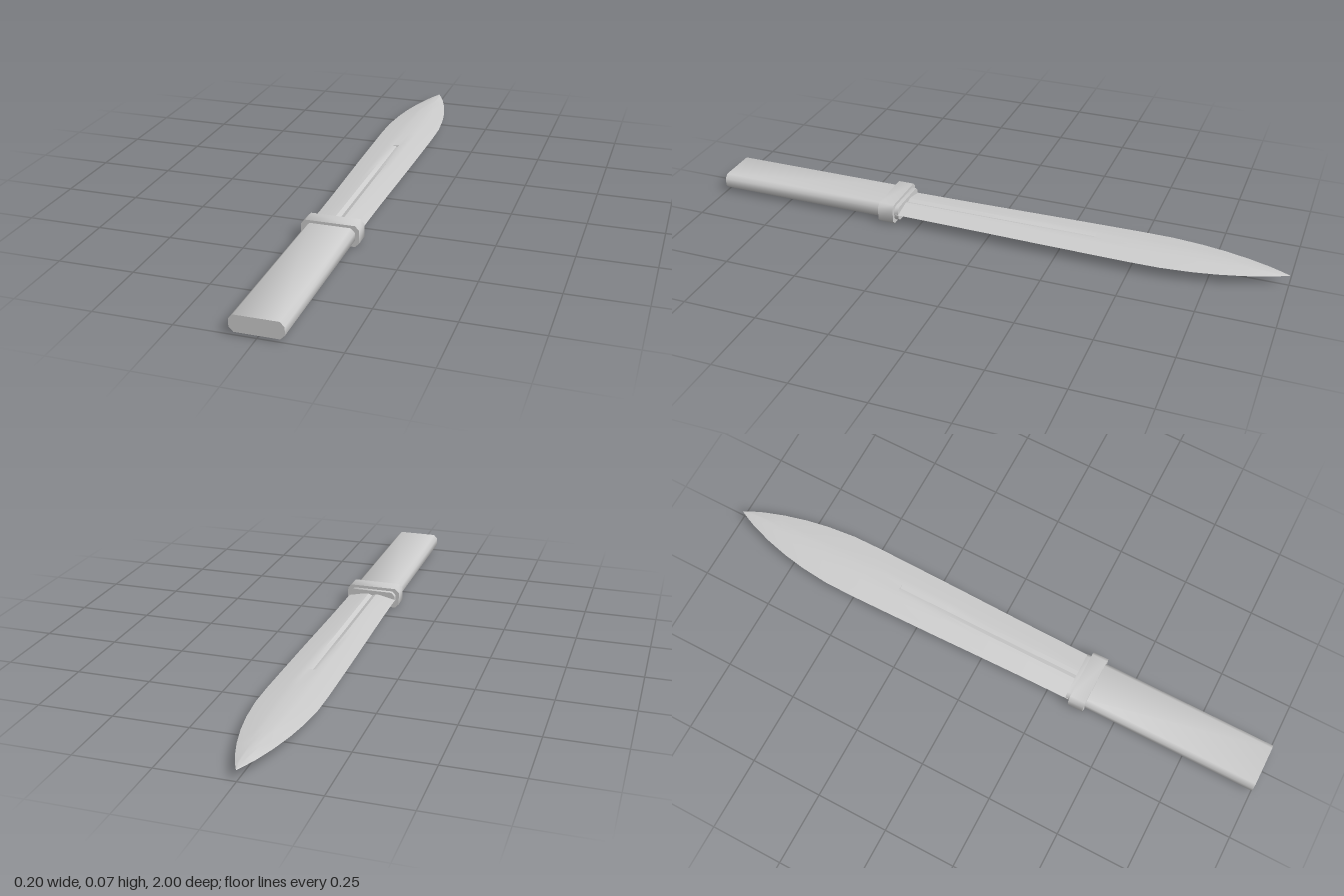
import * as THREE from 'three';
import { toCreasedNormals } from 'three/addons/utils/BufferGeometryUtils.js';

const MID = 0.036; // height of the long axis

// Bar with a chamfered rectangular section, running from z0 to z1
function chamferedBar(name, w, h, c, z0, z1, material) {
  const s = new THREE.Shape();
  const corners = [[w - c, -h], [w, c - h], [w, h - c], [w - c, h], [c - w, h], [-w, h - c], [-w, c - h], [c - w, -h]];
  corners.forEach(([x, y], i) => (i ? s.lineTo(x, y) : s.moveTo(x, y)));
  s.closePath();
  const geo = new THREE.ExtrudeGeometry(s, { depth: z1 - z0, bevelEnabled: false });
  const mesh = new THREE.Mesh(toCreasedNormals(geo, 0.9), material);
  mesh.name = name;
  mesh.position.set(0, MID, z0);
  return mesh;
}

// Blade lofted through [z, half width, half thickness, groove depth]
function bladeGeometry() {
  const stations = [
    [0.33, 0.086, 0.014, 0.006], [0.15, 0.088, 0.014, 0.006], [0, 0.091, 0.014, 0.006],
    [-0.18, 0.095, 0.014, 0.005], [-0.36, 0.098, 0.014, 0.004], [-0.36, 0.098, 0.014, 0],
    [-0.5, 0.1, 0.014, 0], [-0.6, 0.099, 0.0135, 0], [-0.7, 0.089, 0.0125, 0],
    [-0.78, 0.075, 0.011, 0], [-0.86, 0.055, 0.009, 0], [-0.93, 0.032, 0.006, 0],
    [-0.97, 0.015, 0.0035, 0], [-1, 0.0003, 0.0003, 0],
  ];
  const positions = [];
  const index = [];
  const n = 12;
  for (const [z, w, t, d] of stations) {
    const r = w * 0.35;
    const g = Math.min(0.014, w * 0.2);
    // Upper half from +x to -x, then the mirrored lower half
    const top = [[w, 0], [r, t * 0.9], [g, t], [0, t - d], [-g, t], [-r, t * 0.9]];
    for (const [x, y] of top) positions.push(x, y, z);
    for (const [x, y] of top) positions.push(-x, -y, z);
  }
  for (let s = 0; s < stations.length - 1; s++) {
    for (let i = 0; i < n; i++) {
      const a = s * n + i;
      const b = s * n + ((i + 1) % n);
      index.push(a, a + n, b, b, a + n, b + n);
    }
  }
  // Root cap
  for (let i = 1; i < n - 1; i++) index.push(0, i, i + 1);
  const geo = new THREE.BufferGeometry();
  geo.setAttribute('position', new THREE.Float32BufferAttribute(positions, 3));
  geo.setIndex(index);
  return toCreasedNormals(geo, 0.42);
}

export function createModel() {
  const model = new THREE.Group();
  model.name = 'knife';
  const grey = new THREE.MeshStandardMaterial({ color: 0xcccccc });
  grey.name = 'light grey';

  model.add(chamferedBar('handle', 0.082, 0.027, 0.014, 0.38, 1, grey));
  model.add(chamferedBar('guard', 0.096, 0.036, 0.014, 0.335, 0.39, grey));
  model.add(chamferedBar('collar', 0.084, 0.026, 0.013, 0.32, 0.34, grey));

  const blade = new THREE.Mesh(bladeGeometry(), grey);
  blade.name = 'blade';
  blade.position.y = MID;
  model.add(blade);
  return model;
}
